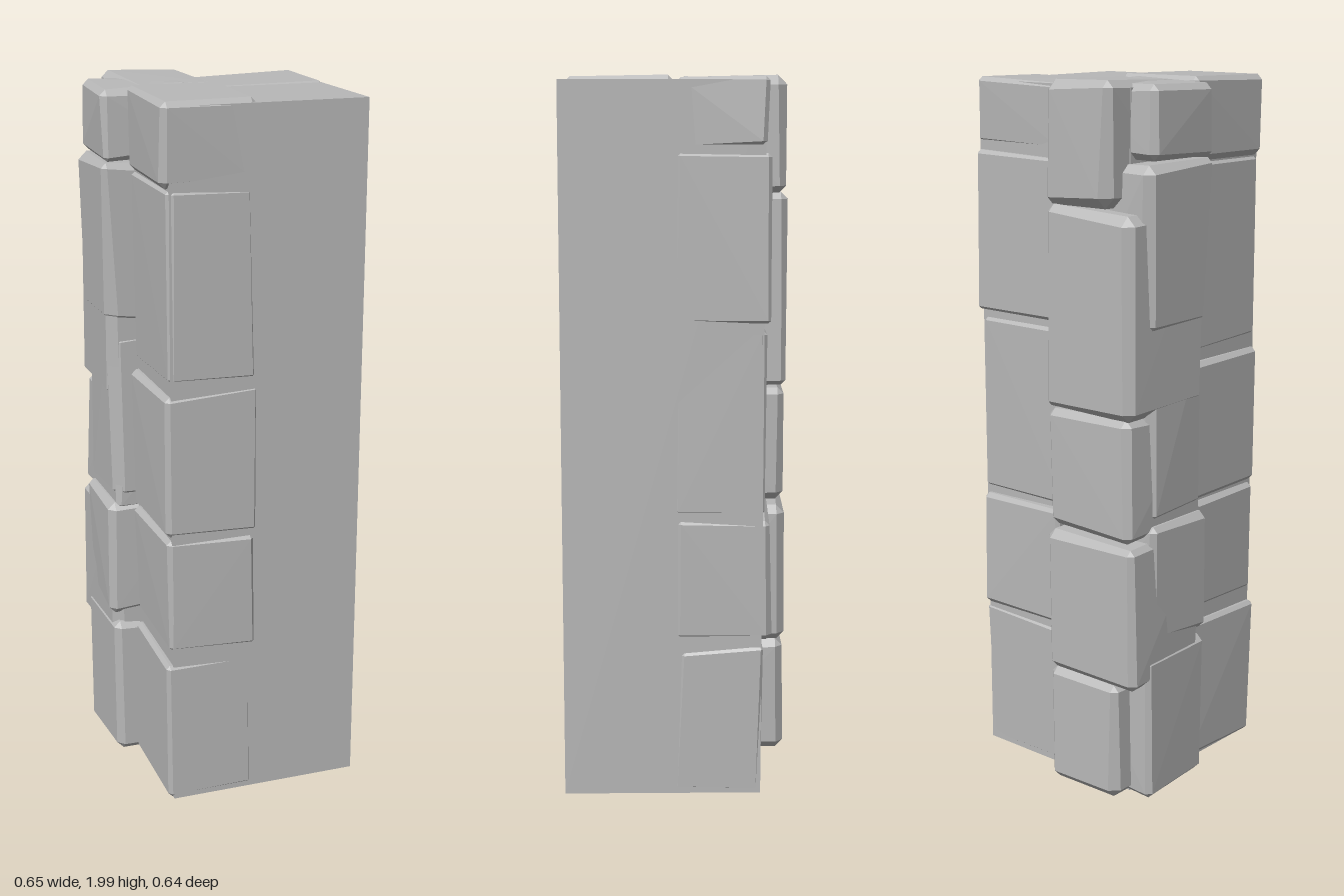
import * as THREE from 'three';
import { ConvexGeometry } from 'three/addons/geometries/ConvexGeometry.js';

// small seeded generator so every build is identical
function seeded(seed) {
  return () => {
    seed = (seed * 16807) % 2147483647;
    return seed / 2147483647;
  };
}

// rough-cut block: each corner is pushed inward a little, then bevelled
function stoneGeometry([x0, x1, y0, y1, z0, z1], rand, bevel) {
  const points = [];
  for (const sx of [-1, 1]) for (const sy of [-1, 1]) for (const sz of [-1, 1]) {
    const cx = (sx < 0 ? x0 : x1) - sx * rand() * 0.012;
    const cy = (sy < 0 ? y0 : y1) - sy * rand() * 0.014;
    const cz = (sz < 0 ? z0 : z1) - sz * rand() * 0.012;
    const b = bevel * (0.5 + rand());
    points.push(
      new THREE.Vector3(cx, cy - sy * b, cz - sz * b),
      new THREE.Vector3(cx - sx * b, cy, cz - sz * b),
      new THREE.Vector3(cx - sx * b, cy - sy * b, cz)
    );
  }
  return new ConvexGeometry(points);
}

export function createModel() {
  const model = new THREE.Group();
  model.name = 'stonePillar';
  const stone = new THREE.MeshStandardMaterial({ color: 0xb8b8b8 });
  stone.name = 'greyStone';
  stone.flatShading = true;
  const rand = seeded(4271);

  // plain pillar core
  const core = new THREE.Mesh(new THREE.BoxGeometry(0.547, 1.965, 0.547), stone);
  core.name = 'core';
  core.position.set(0.0385, 0.9925, 0.0385);
  model.add(core);

  // one course of stones per entry: x0, x1, y0, y1, z0, z1
  const columns = {
    frontCornerStone: [
      [-0.255, 0.005, 0.01, 0.44, 0, 0.322],
      [-0.255, 0.012, 0.465, 0.81, 0, 0.322],
      [-0.262, 0.012, 0.80, 1.225, 0, 0.322],
      [-0.25, 0.005, 1.24, 1.77, 0, 0.322],
      [-0.26, 0.01, 1.765, 1.995, 0, 0.322],
    ],
    backCornerStone: [
      [0, 0.322, 0.01, 0.44, -0.245, 0.005],
      [0, 0.322, 0.45, 0.80, -0.265, 0.01],
      [0, 0.322, 0.81, 1.325, -0.25, 0.005],
      [0, 0.322, 1.325, 1.79, -0.255, 0.012],
      [0, 0.322, 1.79, 1.988, -0.245, 0.005],
    ],
    rearFaceStone: [
      [-0.26, 0.005, 0.01, 0.355, -0.325, 0],
      [-0.322, 0.01, 0.345, 0.775, -0.325, 0],
      [-0.305, 0.005, 0.775, 1.12, -0.325, 0],
      [-0.315, 0.005, 1.105, 1.67, -0.325, 0],
      [-0.235, 0.012, 1.655, 2.0, -0.325, 0],
    ],
    sideFaceStone: [
      [-0.322, -0.05, 0.01, 0.44, -0.26, 0.01],
      [-0.325, -0.05, 0.46, 0.815, -0.25, 0.012],
      [-0.315, -0.05, 0.81, 1.325, -0.24, 0.005],
      [-0.325, -0.05, 1.32, 1.79, -0.265, 0.012],
      [-0.325, -0.05, 1.79, 1.992, -0.24, 0.01],
    ],
  };

  for (const [name, boxes] of Object.entries(columns)) {
    const column = new THREE.Group();
    column.name = name + 'Column';
    const bevel = name.includes('Face') ? 0.022 : 0.012;
    boxes.forEach((box, i) => {
      const block = new THREE.Mesh(stoneGeometry(box, rand, bevel), stone);
      block.name = name + (i + 1);
      column.add(block);
    });
    model.add(column);
  }

  return model;
}
